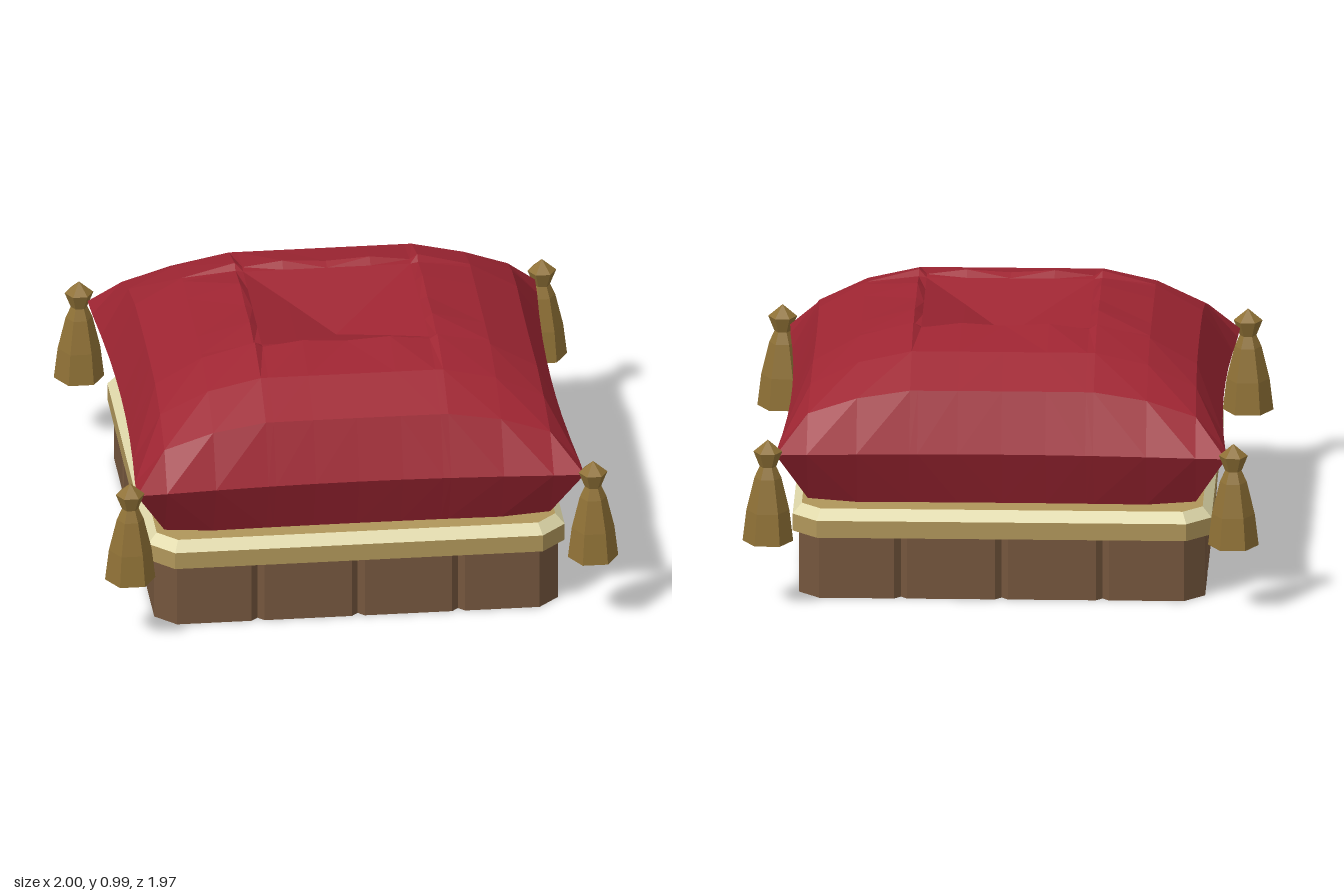
import * as THREE from 'three';

const mat = (name, color) => {
  const m = new THREE.MeshStandardMaterial({ color });
  m.name = name;
  return m;
};

// Separate the faces so each one is shaded flat
function faceted(geometry) {
  const g = geometry.index ? geometry.toNonIndexed() : geometry;
  g.computeVertexNormals();
  return g;
}

function fromTriangles(list) {
  const g = new THREE.BufferGeometry();
  g.setAttribute('position', new THREE.Float32BufferAttribute(list.flat(), 3));
  g.computeVertexNormals();
  return g;
}

// Square outline with cut corners and optional V grooves along each side
function outline(half, flat, grooves = []) {
  const side = [[half, -flat]];
  for (const c of grooves) side.push([half, c - 0.025], [half - 0.025, c], [half, c + 0.025]);
  side.push([half, flat]);
  const points = [];
  for (let k = 0; k < 4; k++) {
    const turn = k * Math.PI / 2;
    for (const [x, y] of side) points.push(new THREE.Vector2(x, y).rotateAround(new THREE.Vector2(), turn));
  }
  return points;
}

function prism(points, y0, y1) {
  const g = new THREE.ExtrudeGeometry(new THREE.Shape(points), { depth: y1 - y0, bevelEnabled: false });
  return g.rotateX(-Math.PI / 2).translate(0, y0, 0);
}

// Sloping band between two outlines
function band(lower, y0, upper, y1) {
  const tris = [];
  const n = lower.length;
  for (let i = 0; i < n; i++) {
    const j = (i + 1) % n;
    const a = [lower[i].x, y0, -lower[i].y], b = [lower[j].x, y0, -lower[j].y];
    const c = [upper[j].x, y1, -upper[j].y], d = [upper[i].x, y1, -upper[i].y];
    tris.push(a, b, c, a, c, d);
  }
  return fromTriangles(tris.flat().length ? tris : []);
}

// Cushion grid: distance from the centre, fullness above and below, dent height
const LEVELS = [
  { d: 0, up: 1, down: 1, dent: 0.83, rim: 0.975 },
  { d: 0.17, up: 1, down: 1, dent: 0.9, rim: 0.985 },
  { d: 0.325, up: 1, down: 1, dent: 0.96, rim: 0.965 },
  { d: 0.355, up: 1, down: 1, dent: 0.985, rim: 0.985 },
  { d: 0.56, up: 0.86, down: 1 },
  { d: 0.74, up: 0.59, down: 0.93, bow: 0.012 },
  { d: 0.835, up: 0, down: 0, bow: 0.035 },
];
const LAST = LEVELS.length - 1;

function cushionPoint(i, j, top) {
  const a = LEVELS[Math.abs(i)], b = LEVELS[Math.abs(j)];
  // Sides curve inward between the pulled-out corners
  const place = (s, own, other) => Math.sign(s) * (own.d + (own.bow || 0) * Math.min(1, (other.d / 0.8) ** 2));
  let y = top ? 0.6 + 0.385 * a.up * b.up : 0.6 - 0.24 * a.down * b.down;
  const outer = Math.max(Math.abs(i), Math.abs(j)), inner = Math.min(Math.abs(i), Math.abs(j));
  if (top && outer === 3) y = LEVELS[inner].rim;
  else if (top && outer < 3) y = LEVELS[outer].dent;
  return [place(i, a, b), y, place(j, b, a)];
}

function cushionGeometry() {
  const tris = [];
  for (const top of [true, false]) {
    for (let i = -LAST; i < LAST; i++) {
      for (let j = -LAST; j < LAST; j++) {
        const a = cushionPoint(i, j, top), b = cushionPoint(i, j + 1, top);
        const c = cushionPoint(i + 1, j + 1, top), d = cushionPoint(i + 1, j, top);
        const faces = (i + 0.5) * (j + 0.5) > 0 ? [[a, b, c], [a, c, d]] : [[a, b, d], [b, c, d]];
        for (const f of faces) tris.push(...(top ? f : f.reverse()));
      }
    }
  }
  return fromTriangles(tris);
}

export function createModel() {
  const model = new THREE.Group();
  const wood = mat('brown wood', 0x74563d);
  const gold = mat('pale gold', 0xb0965a);
  const cream = mat('cream', 0xe0d9aa);
  const red = mat('crimson cloth', 0x9e2532);
  const brass = mat('old gold', 0x8f7136);

  const add = (name, geometry, material, parent = model) => {
    const mesh = new THREE.Mesh(geometry, material);
    mesh.name = name;
    parent.add(mesh);
    return mesh;
  };

  // Grooved wooden base
  add('base', faceted(prism(outline(0.785, 0.705, [-0.39, 0, 0.39]), 0, 0.25)), wood);

  // Gold trim with a cream bevel around the top edge
  const wide = outline(0.81, 0.715), narrow = outline(0.775, 0.7);
  add('trimBand', faceted(prism(wide, 0.25, 0.318)), gold);
  add('trimBevel', band(wide, 0.318, narrow, 0.358), cream);
  const cap = new THREE.ShapeGeometry(new THREE.Shape(narrow)).rotateX(-Math.PI / 2).translate(0, 0.358, 0);
  add('trimTop', faceted(cap), gold);

  // Cushion with a dented middle
  add('cushion', cushionGeometry(), red);

  // Six-sided tassel at each corner
  const profile = [[0, 0.265], [0.098, 0.265], [0.083, 0.39], [0.052, 0.52], [0.032, 0.565], [0.056, 0.625], [0, 0.672]]
    .map(([r, y]) => new THREE.Vector2(r, y));
  const tasselGeometry = faceted(new THREE.LatheGeometry(profile, 6, Math.PI / 2));
  for (const [x, xName] of [[0.9, 'Left'], [-0.9, 'Right']]) {
    for (const [z, zName] of [[0.9, 'front'], [-0.9, 'back']]) {
      add(`${zName}${xName}Tassel`, tasselGeometry, brass).position.set(x, 0, z);
    }
  }
  return model;
}
